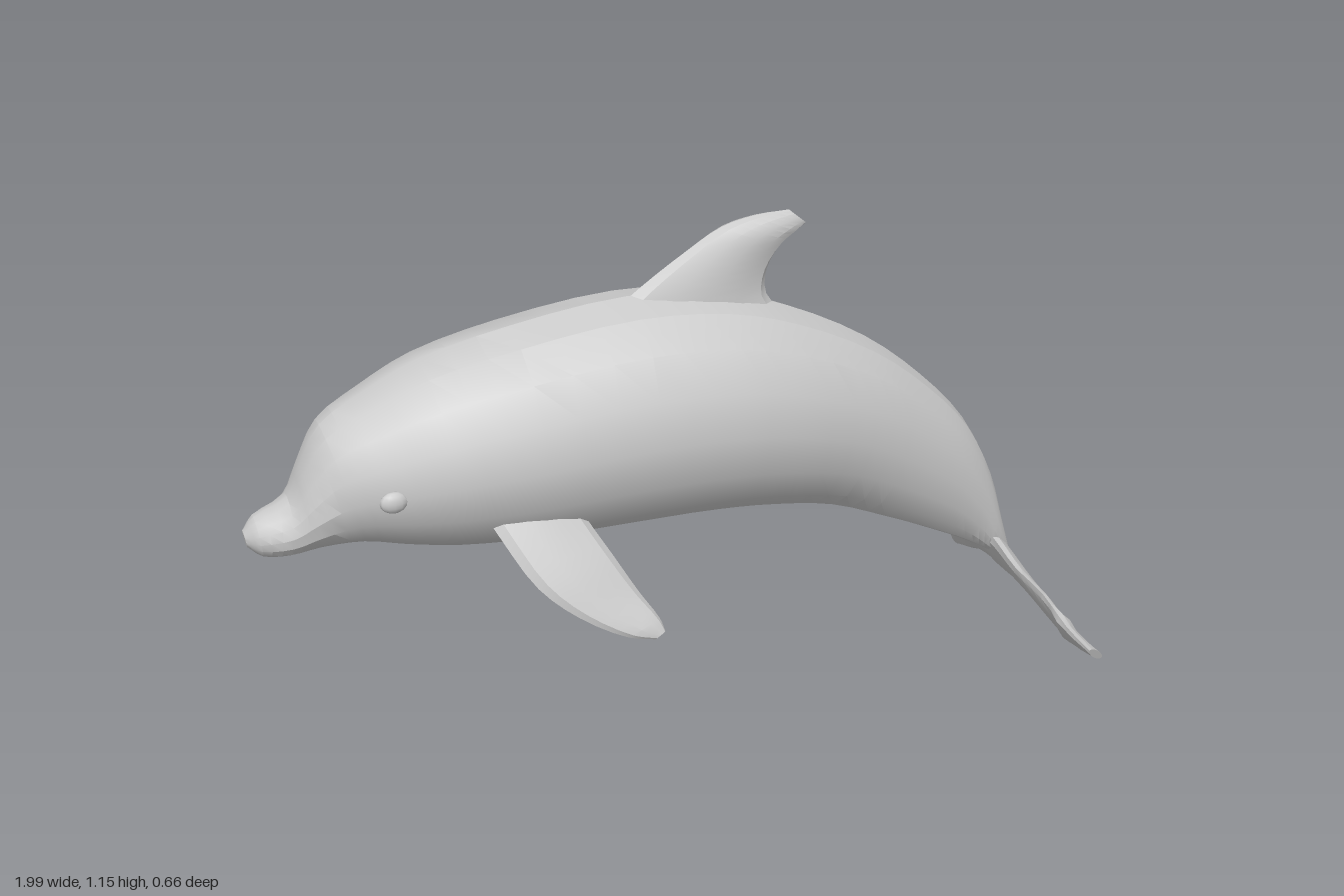
import * as THREE from 'three';
import { toCreasedNormals } from 'three/addons/utils/BufferGeometryUtils.js';

const skin = new THREE.MeshStandardMaterial({ color: 0xcccccc });
skin.name = 'pale grey skin';

// Lofts oval sections. Each station is [edgeA, edgeB, half thickness];
// edges are [x, y, z] points, smoothed along the length by curves.
function loft(name, stations, sides, sub, crease = 0.4) {
  const curve = (f) => new THREE.CatmullRomCurve3(stations.map(f));
  const curveA = curve((s) => new THREE.Vector3(...s[0]));
  const curveB = curve((s) => new THREE.Vector3(...s[1]));
  const curveW = curve((s) => new THREE.Vector3(s[2], 0, 0));
  const rings = (stations.length - 1) * sub;
  const mid = (i) => {
    const t = THREE.MathUtils.clamp(i / rings, 0, 1);
    return curveA.getPoint(t).add(curveB.getPoint(t)).multiplyScalar(0.5);
  };
  const pos = [], index = [];
  for (let i = 0; i <= rings; i++) {
    const c = mid(i);
    const half = curveA.getPoint(i / rings).sub(c);
    const span = mid(i + 1).sub(mid(i - 1));
    const side = half.clone().cross(span).normalize().multiplyScalar(curveW.getPoint(i / rings).x);
    for (let j = 0; j < sides; j++) {
      const a = (j / sides) * Math.PI * 2;
      const p = c.clone().addScaledVector(half, Math.cos(a)).addScaledVector(side, Math.sin(a));
      pos.push(p.x, p.y, p.z);
    }
  }
  for (let i = 0; i < rings; i++) {
    for (let j = 0; j < sides; j++) {
      const a = i * sides + j, b = i * sides + (j + 1) % sides;
      index.push(a, a + sides, b, b, a + sides, b + sides);
    }
  }
  // end caps
  const last = rings * sides, n = pos.length / 3;
  pos.push(...mid(0).toArray(), ...mid(rings).toArray());
  for (let j = 0; j < sides; j++) {
    const k = (j + 1) % sides;
    index.push(n, j, k, n + 1, last + k, last + j);
  }
  const geo = new THREE.BufferGeometry();
  geo.setAttribute('position', new THREE.Float32BufferAttribute(pos, 3));
  geo.setIndex(index);
  const mesh = new THREE.Mesh(toCreasedNormals(geo, crease), skin);
  mesh.name = name;
  return mesh;
}

export function createModel() {
  const model = new THREE.Group();
  model.name = 'dolphin';

  // body: top x, top y, bottom x, bottom y, half width
  const body = [
    [-1.0, 0.6, -0.995, 0.565, 0.02],
    [-0.975, 0.63, -0.965, 0.54, 0.05],
    [-0.9, 0.665, -0.91, 0.535, 0.078],
    [-0.87, 0.73, -0.84, 0.545, 0.105],
    [-0.82, 0.82, -0.75, 0.545, 0.14],
    [-0.72, 0.88, -0.66, 0.525, 0.18],
    [-0.6, 0.935, -0.55, 0.505, 0.215],
    [-0.4, 0.98, -0.38, 0.49, 0.237],
    [-0.13, 1.01, -0.15, 0.485, 0.24],
    [0.08, 0.99, 0.05, 0.478, 0.23],
    [0.25, 0.935, 0.2, 0.46, 0.205],
    [0.45, 0.83, 0.35, 0.425, 0.16],
    [0.6, 0.71, 0.5, 0.36, 0.12],
    [0.72, 0.58, 0.65, 0.29, 0.085],
    [0.8, 0.43, 0.74, 0.245, 0.06],
    [0.845, 0.29, 0.8, 0.21, 0.042],
    [0.875, 0.2, 0.845, 0.18, 0.02],
  ].map(([tx, ty, bx, by, w]) => [[tx, ty, 0], [bx, by, 0], w]);
  model.add(loft('body', body, 16, 3));

  // dorsal fin: leading edge to trailing edge, from root to tip
  const fin = [
    [-0.2, 0.95, 0.28, 0.88, 0.045],
    [-0.1, 1.025, 0.2, 0.97, 0.042],
    [0.0, 1.09, 0.2, 1.03, 0.038],
    [0.09, 1.14, 0.235, 1.085, 0.034],
    [0.17, 1.157, 0.27, 1.11, 0.024],
    [0.25, 1.16, 0.292, 1.125, 0.01],
  ].map(([ax, ay, bx, by, w]) => [[ax, ay, 0], [bx, by, 0], w]);
  model.add(loft('dorsalFin', fin, 12, 3));

  // flippers and eye bumps, mirrored across the body
  for (const s of [1, -1]) {
    const flipper = [
      [[-0.53, 0.66, 0.14 * s], [-0.33, 0.66, 0.12 * s], 0.025],
      [[-0.49, 0.58, 0.2 * s], [-0.29, 0.58, 0.175 * s], 0.024],
      [[-0.43, 0.48, 0.26 * s], [-0.25, 0.51, 0.225 * s], 0.022],
      [[-0.35, 0.41, 0.295 * s], [-0.205, 0.43, 0.265 * s], 0.019],
      [[-0.25, 0.355, 0.32 * s], [-0.17, 0.375, 0.3 * s], 0.015],
      [[-0.19, 0.34, 0.325 * s], [-0.163, 0.35, 0.315 * s], 0.008],
    ];
    model.add(loft(s > 0 ? 'leftFlipper' : 'rightFlipper', flipper, 10, 3));

    const eye = new THREE.Mesh(new THREE.SphereGeometry(0.03, 12, 8), skin);
    eye.name = 'eyeBump';
    eye.scale.set(1, 0.8, 0.5);
    eye.position.set(-0.71, 0.7, 0.177 * s);
    model.add(eye);
  }

  // tail fluke: one blade from side to side, with one tip curled further back
  const halfFluke = (s) => [
    [[0.805, 0.255, 0.05 * s], [0.9, 0.115, 0.05 * s], 0.02],
    [[0.81, 0.225, 0.15 * s], [0.905, 0.1, 0.15 * s], 0.016],
    [[0.835, 0.195, 0.24 * s], [0.91, 0.07, 0.22 * s], 0.014],
  ];
  const fluke = [
    [[0.905, 0.06, -0.328], [0.925, 0.03, -0.322], 0.008],
    [[0.87, 0.13, -0.308], [0.92, 0.045, -0.28], 0.012],
    ...halfFluke(-1).reverse(),
    [[0.8, 0.265, 0], [0.9, 0.115, 0], 0.024],
    ...halfFluke(1),
    [[0.87, 0.13, 0.305], [0.945, 0.035, 0.265], 0.014],
    [[0.93, 0.06, 0.322], [0.99, 0.008, 0.29], 0.01],
  ];
  model.add(loft('tailFluke', fluke, 10, 3));

  return model;
}
